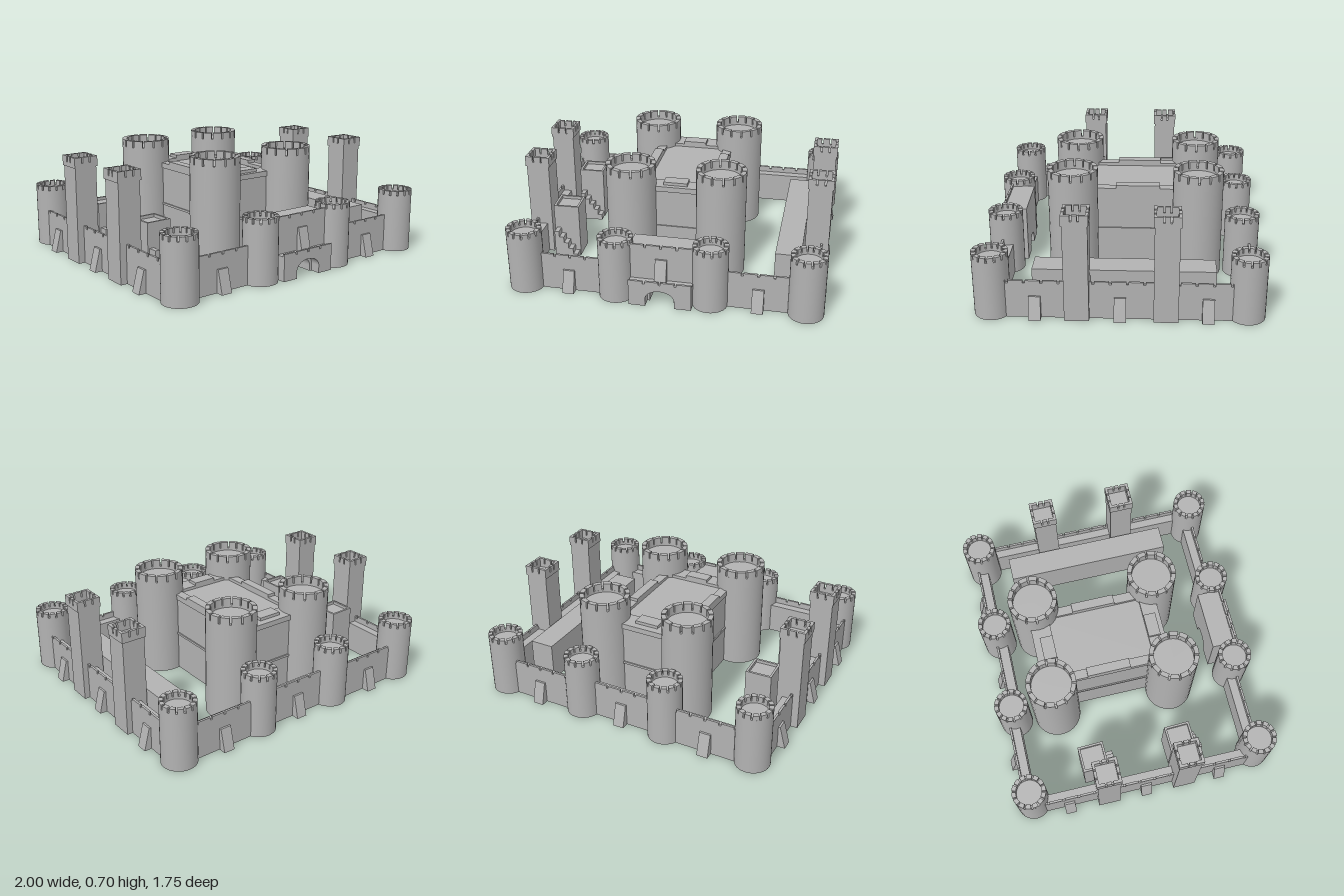
import * as THREE from 'three';

export function createModel() {
  const castle = new THREE.Group();
  castle.name = 'castle';
  const stone = new THREE.MeshStandardMaterial({ color: 0xb2b2b2 });
  stone.name = 'grey stone';

  const add = (parent, name, geo) => {
    const mesh = new THREE.Mesh(geo, stone);
    mesh.name = name;
    parent.add(mesh);
    return mesh;
  };
  const group = (name) => {
    const g = new THREE.Group();
    g.name = name;
    castle.add(g);
    return g;
  };
  // Box given by its limits on each axis
  const box = (parent, name, x0, x1, y0, y1, z0, z1) => {
    const mesh = add(parent, name, new THREE.BoxGeometry(x1 - x0, y1 - y0, z1 - z0));
    mesh.position.set((x0 + x1) / 2, (y0 + y1) / 2, (z0 + z1) / 2);
    return mesh;
  };
  // Arc-shaped block lying flat, from y0 to y1
  const arcBlock = (parent, name, rIn, rOut, a0, a1, y0, y1, segments) => {
    const s = new THREE.Shape();
    s.absarc(0, 0, rOut, a0, a1, false);
    s.absarc(0, 0, rIn, a1, a0, true);
    const geo = new THREE.ExtrudeGeometry(s, { depth: y1 - y0, bevelEnabled: false, curveSegments: segments });
    geo.rotateX(-Math.PI / 2);
    add(parent, name, geo).position.y = y0;
  };

  // Round tower with a recessed roof and a ring of merlons
  function roundTower(name, x, z, r, h, rim, notch) {
    const g = group(name);
    g.position.set(x, 0, z);
    const floor = h - notch - 0.015;
    add(g, 'towerBody', new THREE.CylinderGeometry(r, r, floor, 32)).position.y = floor / 2;
    for (const half of [0, Math.PI]) {
      arcBlock(g, 'parapet', r - rim, r, half, half + Math.PI, floor, h - notch, 16);
    }
    const n = 14, step = (Math.PI * 2) / n, gap = 0.012 / r;
    for (let i = 0; i < n; i++) {
      arcBlock(g, 'merlon', r - rim, r, i * step + gap / 2, (i + 1) * step - gap / 2, h - notch, h, 3);
    }
  }

  // Row of merlons along x or z
  function merlonRow(parent, axis, from, to, count, c0, c1, y0, y1, gap = 0.014) {
    const step = (to - from) / count;
    for (let i = 0; i < count; i++) {
      const a = from + i * step + (i ? gap / 2 : 0);
      const b = from + (i + 1) * step - (i < count - 1 ? gap / 2 : 0);
      if (axis === 'x') box(parent, 'merlon', a, b, y0, y1, c0, c1);
      else box(parent, 'merlon', c0, c1, y0, y1, a, b);
    }
  }

  // Sloping buttress; its foot points outward along the given turn
  function buttress(x, y, z, turn, depth = 0.05) {
    const s = new THREE.Shape();
    s.moveTo(-0.02, 0);
    s.lineTo(depth, 0);
    s.lineTo(depth * 0.25, 0.145);
    s.lineTo(-0.02, 0.145);
    const geo = new THREE.ExtrudeGeometry(s, { depth: 0.072, bevelEnabled: false });
    geo.translate(0, 0, -0.036);
    geo.rotateY(-Math.PI / 2 + turn);
    add(castle, 'buttress', geo).position.set(x, y, z);
  }

  // Outer round towers
  for (const z of [-0.77, 0.76]) {
    for (const x of [-0.87, -0.285, 0.305, 0.89]) roundTower('wallTower', x, z, 0.11, 0.41, 0.028, 0.03);
  }

  // Curtain walls with a thin battlement on the outer edge
  const walk = 0.205, low = 0.228, top = 0.245;
  const walls = [
    ['x', -0.87, -0.285, 0.705, 0.775, 1], ['x', 0.305, 0.89, 0.705, 0.775, 1],
    ['x', -0.87, -0.285, -0.82, -0.75, -1], ['x', 0.305, 0.89, -0.82, -0.75, -1],
    ['x', -0.285, 0.305, -0.795, -0.72, -1],
    ['z', -0.77, 0.76, -0.948, -0.88, -1], ['z', -0.77, 0.76, 0.885, 0.952, 1],
  ];
  for (const [axis, a, b, c0, c1, out] of walls) {
    const g = group('curtainWall');
    const p0 = out > 0 ? c1 - 0.014 : c0, p1 = out > 0 ? c1 : c0 + 0.014;
    if (axis === 'x') {
      box(g, 'wall', a, b, 0, walk, c0, c1);
      box(g, 'parapet', a, b, walk, low, p0, p1);
    } else {
      box(g, 'wall', c0, c1, 0, walk, a, b);
      box(g, 'parapet', p0, p1, walk, low, a, b);
    }
    merlonRow(g, axis, a, b, Math.round((b - a) / 0.1), p0, p1, low, top);
  }

  // Buttresses around the walls
  for (const x of [-0.585, 0.6]) {
    buttress(x, 0, 0.775, 0);
    buttress(x, 0, -0.82, Math.PI);
  }
  buttress(0.01, 0, -0.795, Math.PI);
  buttress(0.01, 0.155, 0.8, 0, 0.045);
  for (const z of [-0.535, -0.012, 0.495]) {
    buttress(-0.948, 0, z, -Math.PI / 2);
    buttress(0.952, 0, z, Math.PI / 2, 0.048);
  }

  // Gatehouse: tall block and low porch, both pierced by an arch
  const gate = group('gatehouse');
  const archWall = (name, x0, x1, h, z0, z1, half, spring) => {
    const cx = 0.01, s = new THREE.Shape();
    s.moveTo(x0, 0);
    s.lineTo(cx - half, 0);
    s.lineTo(cx - half, spring);
    s.absellipse(cx, spring, half, 0.06, Math.PI, 0, true);
    s.lineTo(cx + half, 0);
    s.lineTo(x1, 0);
    s.lineTo(x1, h);
    s.lineTo(x0, h);
    const geo = new THREE.ExtrudeGeometry(s, { depth: z1 - z0, bevelEnabled: false, curveSegments: 14 });
    add(gate, name, geo).position.z = z0;
  };
  archWall('gateBlock', -0.19, 0.205, 0.37, 0.64, 0.8, 0.075, 0.035);
  archWall('gatePorch', -0.185, 0.205, 0.155, 0.8, 0.865, 0.09, 0.05);
  merlonRow(gate, 'x', -0.19, 0.205, 4, 0.786, 0.8, 0.37, 0.388);
  merlonRow(gate, 'x', -0.185, 0.205, 4, 0.851, 0.865, 0.155, 0.172);

  // Square towers astride the side walls
  function squareTower(x, z) {
    const g = group('squareTower');
    g.position.set(x, 0, z);
    const r = 0.074, o = 0.08, t = 0.018;
    box(g, 'towerBody', -r, r, 0, 0.625, -r, r);
    for (const s of [-1, 1]) {
      const c0 = s > 0 ? o - t : -o, c1 = s > 0 ? o : -o + t;
      box(g, 'parapet', -o, o, 0.622, 0.65, c0, c1);
      box(g, 'parapet', c0, c1, 0.622, 0.65, -o + t, o - t);
      merlonRow(g, 'x', -o, o, 3, c0, c1, 0.65, 0.688, 0.01);
      merlonRow(g, 'z', -o + t, o - t, 3, c0, c1, 0.65, 0.688, 0.01);
    }
  }
  squareTower(-0.918, -0.27);
  squareTower(-0.918, 0.248);
  squareTower(0.915, -0.285);
  squareTower(0.915, 0.245);

  // Small flat-roofed houses with front steps
  for (const z of [-0.32, 0.263]) {
    const g = group('house');
    g.position.set(-0.735, 0, z);
    g.rotation.y = 0.03;
    const r = 0.084, t = 0.014;
    box(g, 'houseBody', -r, r, 0, 0.34, -r, r);
    for (const s of [-1, 1]) {
      const c0 = s > 0 ? r - t : -r, c1 = s > 0 ? r : -r + t;
      box(g, 'roofRim', -r, r, 0.34, 0.36, c0, c1);
      box(g, 'roofRim', c0, c1, 0.34, 0.36, -r + t, r - t);
    }
    for (let i = 0; i < 5; i++) {
      box(g, 'step', r - 0.03 * (i + 1) - 0.005, r - 0.03 * i - 0.005, 0, 0.04 + i * 0.04, r, r + 0.062);
    }
  }

  // Long hall along the model's left wall
  box(castle, 'longHall', 0.67, 0.83, 0, 0.258, -0.585, 0.525);

  // Keep: body, ledge, roof rim and wide merlons
  const keep = group('keep');
  const X = 0.26, Z0 = -0.535, Z1 = 0.32;
  box(keep, 'keepBody', -X + 0.008, X - 0.008, 0, 0.53, Z0 + 0.008, Z1 - 0.008);
  box(keep, 'ledge', -X, X, 0.255, 0.27, Z0, Z1);
  box(keep, 'cornice', -X, X, 0.515, 0.53, Z0, Z1);
  for (const s of [-1, 1]) {
    const c0 = s > 0 ? 0.2 : -X, c1 = s > 0 ? X : -0.2;
    box(keep, 'roofRim', c0, c1, 0.53, 0.55, Z0, Z1);
    box(keep, 'wideMerlon', c0, c1, 0.55, 0.57, -0.24, 0.045);
  }
  box(keep, 'roofRim', -0.2, 0.2, 0.53, 0.55, Z0, -0.405);
  box(keep, 'roofRim', -0.2, 0.2, 0.53, 0.55, 0.21, Z1);
  box(keep, 'wideMerlon', -0.085, 0.07, 0.55, 0.57, -0.49, -0.405);
  box(keep, 'wideMerlon', -0.085, 0.07, 0.55, 0.57, 0.21, 0.29);
  for (const x of [-0.29, 0.295]) {
    for (const z of [-0.482, 0.318]) roundTower('keepTower', x, z, 0.16, 0.705, 0.03, 0.045);
  }

  return castle;
}
